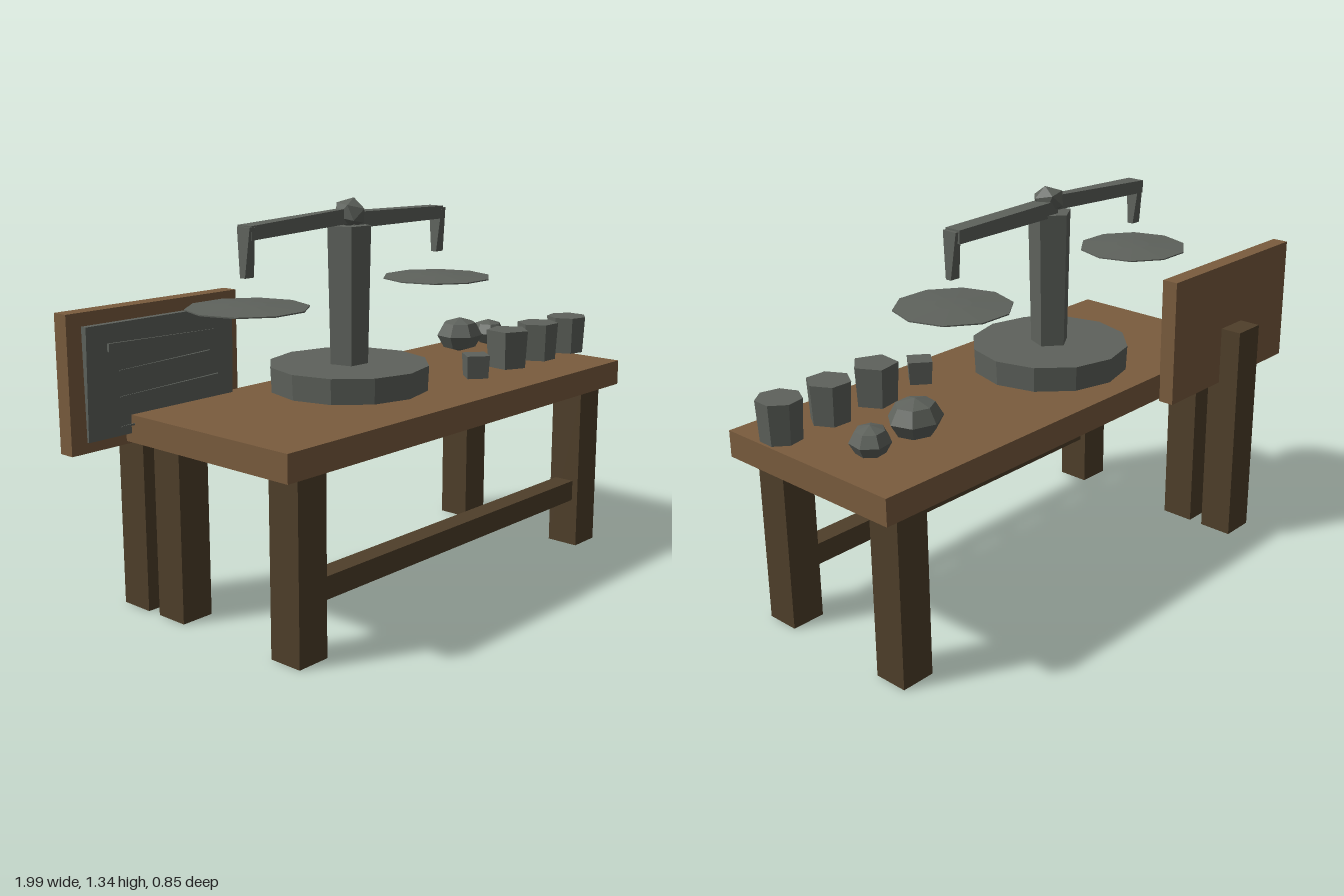
import * as THREE from 'three';

const mat = (name, color) => {
  const m = new THREE.MeshStandardMaterial({ color, flatShading: true });
  m.name = name;
  return m;
};

export function createModel() {
  const oak = mat('oak', 0x7a5c3e);
  const darkWood = mat('dark wood', 0x4f3f2a);
  const iron = mat('iron grey', 0x5e625c);
  const model = new THREE.Group();
  model.name = 'weighingTable';

  const add = (name, geometry, material, x = 0, y = 0, z = 0) => {
    const mesh = new THREE.Mesh(geometry, material);
    mesh.name = name;
    mesh.position.set(x, y, z);
    model.add(mesh);
    return mesh;
  };
  // box given by its lower and upper limits on each axis
  const block = (name, material, [x0, x1], [y0, y1], [z0, z1]) =>
    add(name, new THREE.BoxGeometry(x1 - x0, y1 - y0, z1 - z0), material,
      (x0 + x1) / 2, (y0 + y1) / 2, (z0 + z1) / 2);
  // box between two cross-sections; sections hold [min, max] pairs of the other two axes
  const taper = (name, axis, from, to, a, b) => {
    const others = [0, 1, 2].filter((i) => i !== axis);
    const g = new THREE.BoxGeometry(1, 1, 1);
    const p = g.attributes.position;
    for (let i = 0; i < p.count; i++) {
      const end = p.getComponent(i, axis) > 0;
      others.forEach((o, k) => {
        p.setComponent(i, o, (end ? b : a)[k][p.getComponent(i, o) > 0 ? 1 : 0]);
      });
      p.setComponent(i, axis, end ? to : from);
    }
    return add(name, g, iron);
  };

  // table
  block('tableTop', oak, [-0.79, 0.97], [0.6, 0.69], [-0.295, 0.425]);
  for (const x of [-0.655, 0.835]) {
    for (const z of [0.33, -0.193]) {
      block('tableLeg', darkWood, [x - 0.06, x + 0.06], [0, 0.588], [z - 0.06, z + 0.06]);
    }
  }
  block('frontStretcher', darkWood, [-0.595, 0.775], [0.175, 0.25], [0.293, 0.367]);

  // notice board on its post
  block('boardPost', darkWood, [-0.717, -0.595], [0, 0.795], [-0.427, -0.305]);
  block('noticeBoard', oak, [-1, -0.31], [0.59, 1.03], [-0.35, -0.293]);
  taper('slatePanel', 1, 0.63, 0.99,
    [[-0.955, -0.36], [-0.274, -0.266]], [[-0.955, -0.36], [-0.28, -0.257]]);
  const rows = [ // left end, right end, height, thick at the left
    [-0.88, -0.44, 0.918, true],
    [-0.84, -0.47, 0.84, false],
    [-0.84, -0.435, 0.757, false],
    [-0.84, -0.37, 0.662, false],
  ];
  for (const [x0, x1, y, thickLeft] of rows) {
    const thick = [[y - 0.013, y + 0.013], [-0.255, -0.246]];
    const thin = [[y - 0.002, y + 0.002], [-0.252, -0.249]];
    taper('writtenRow', 0, x0, x1, thickLeft ? thick : thin, thickLeft ? thin : thick);
  }

  // balance scale
  add('scaleBase', new THREE.CylinderGeometry(0.272, 0.268, 0.085, 12), iron, -0.1, 0.75, 0.03);
  add('scaleColumn', new THREE.CylinderGeometry(0.076, 0.066, 0.47, 5), iron, -0.102, 1.017, 0.03)
    .rotation.y = 0.56;
  const finial = add('finial', new THREE.IcosahedronGeometry(0.058), iron, -0.095, 1.292, 0.032);
  finial.scale.set(0.95, 0.85, 1);
  finial.rotation.set(0.2, 0.4, 0.3);
  taper('leftBeam', 0, -0.1, 0.365,
    [[1.242, 1.295], [-0.005, 0.055]], [[1.242, 1.286], [-0.005, 0.055]]);
  taper('rightBeam', 0, -0.56, -0.1,
    [[1.24, 1.284], [-0.008, 0.055]], [[1.258, 1.308], [0.012, 0.042]]);
  for (const x of [-0.56, 0.365]) {
    taper('panHanger', 1, 1.125, 1.28,
      [[x - 0.018, x + 0.02], [0.018, 0.04]], [[x - 0.01, x + 0.012], [0, 0.056]]);
    // shallow lens-shaped pan
    const profile = [[0, -0.011], [0.06, -0.01], [0.194, -0.002], [0.194, 0.002], [0.06, 0.01], [0, 0.011]]
      .map(([r, y]) => new THREE.Vector2(r, y));
    const pan = add('scalePan', new THREE.LatheGeometry(profile, 10), iron, x, 1.033, 0.03);
    pan.rotation.y = Math.PI / 10;
  }

  // row of weights: x, z, radius, height, sides, turn
  const weights = [
    [0.313, 0.25, 0.057, 0.08, 4, 0.1],
    [0.535, 0.225, 0.078, 0.135, 5, 0.2],
    [0.73, 0.22, 0.075, 0.135, 6, 0.5],
    [0.924, 0.22, 0.074, 0.135, 7, 0.2],
  ];
  for (const [x, z, r, h, sides, turn] of weights) {
    add('weight', new THREE.CylinderGeometry(r, r * 0.9, h, sides), iron, x, 0.708 + h / 2, z)
      .rotation.y = turn;
  }

  // two ore lumps
  const lumps = [[0.647, -0.08, 0.095, 0.065, 0.086], [0.83, -0.08, 0.073, 0.05, 0.066]];
  lumps.forEach(([x, z, rx, ry, rz], i) => {
    const lump = add('oreLump', new THREE.SphereGeometry(1, 7, 4), iron, x, 0.708 + ry, z);
    lump.scale.set(rx, ry, rz);
    lump.rotation.y = 0.3 + i * 0.5;
  });

  return model;
}
